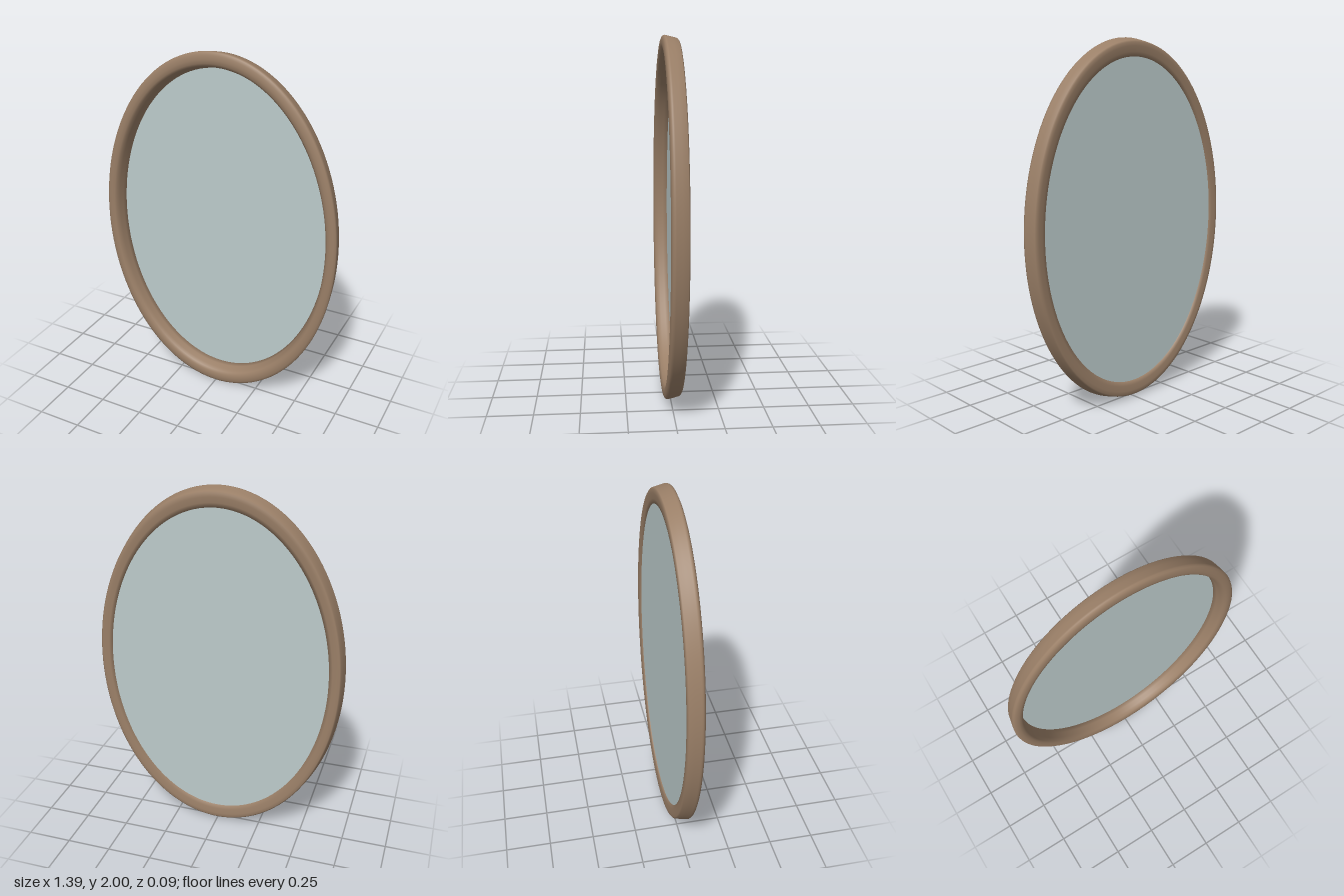
import * as THREE from 'three';
import { mergeVertices } from 'three/addons/utils/BufferGeometryUtils.js';

// Half width of the oval whose half height is r
const halfWidth = (r) => 0.695 - 0.775 * (1 - r);

export function createModel() {
  const model = new THREE.Group();
  model.name = 'ovalMirror';

  const wood = new THREE.MeshStandardMaterial({ color: 0x9a7f67 });
  wood.name = 'brown wood';
  const silver = new THREE.MeshStandardMaterial({ color: 0xbccbcb, side: THREE.DoubleSide });
  silver.name = 'pale mirror glass';

  // Rim cross-section as [radius, depth]: back, outer side, rounded front, inner slope
  const profile = [
    [0.9, -0.038], [0.925, -0.043], [0.955, -0.047], [0.975, -0.046], [0.984, -0.04],
    [0.992, -0.01], [0.999, 0.02], [1.0, 0.028], [0.996, 0.036], [0.982, 0.042],
    [0.96, 0.045], [0.94, 0.042], [0.926, 0.034], [0.916, 0.015], [0.908, -0.012], [0.9, -0.038],
  ].map(([r, z]) => new THREE.Vector2(r, z));

  // Turn the ring, then narrow each circle to its oval
  let ring = new THREE.LatheGeometry(profile, 128).rotateX(Math.PI / 2);
  const pos = ring.attributes.position;
  for (let i = 0; i < pos.count; i++) {
    const r = Math.hypot(pos.getX(i), pos.getY(i));
    pos.setX(i, pos.getX(i) * halfWidth(r) / r);
  }
  ring.deleteAttribute('uv');
  ring.deleteAttribute('normal');
  ring = mergeVertices(ring, 1e-5);
  ring.computeVertexNormals();
  const frame = new THREE.Mesh(ring, wood);
  frame.name = 'frame';

  // Flat pane near the back of the frame
  const pane = new THREE.CircleGeometry(1, 128).scale(halfWidth(0.902), 0.902, 1);
  const glass = new THREE.Mesh(pane, silver);
  glass.name = 'mirrorGlass';
  glass.position.z = -0.036;

  model.add(frame, glass);
  for (const part of model.children) part.position.y = 1;
  return model;
}
